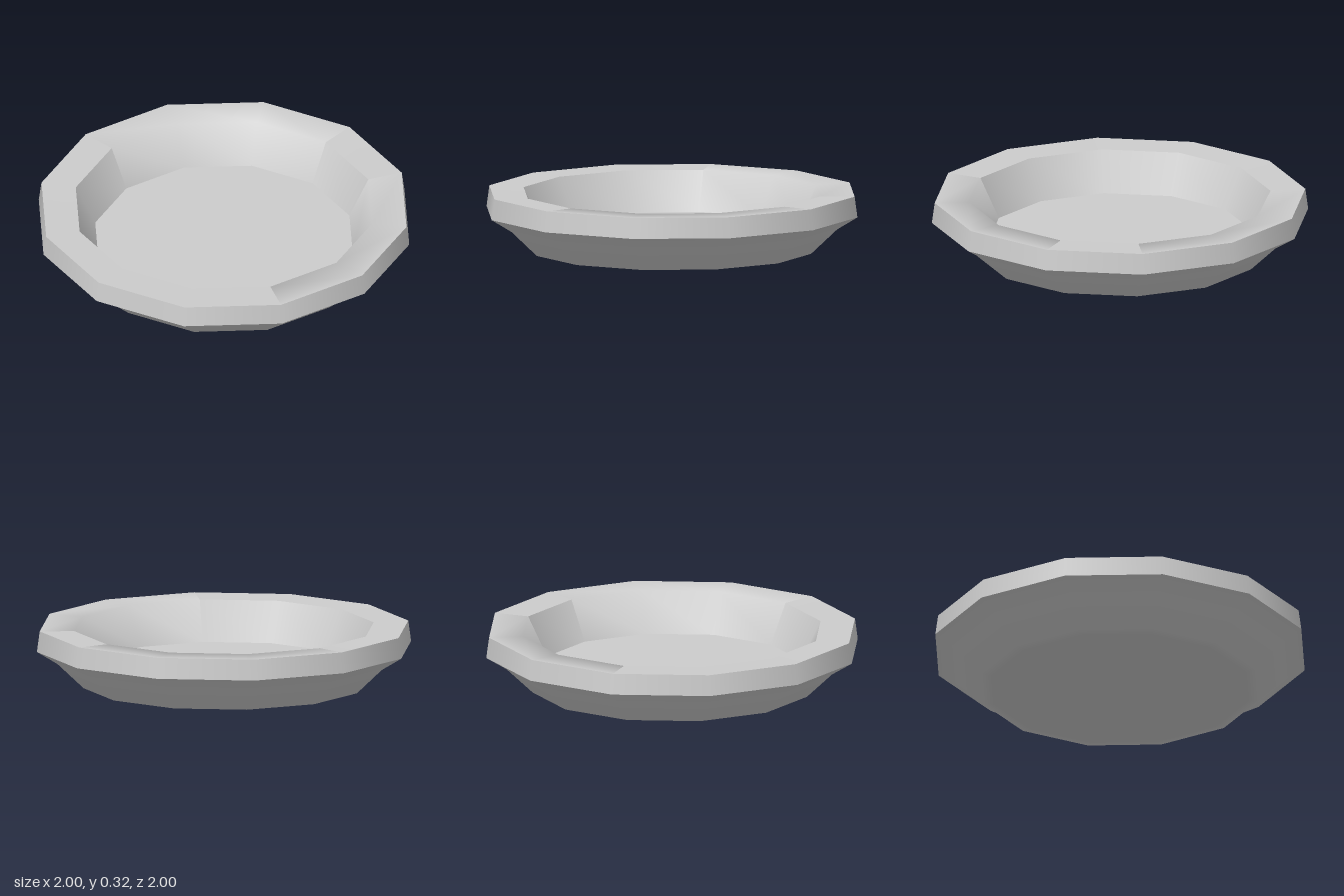
import * as THREE from 'three';

const SIDES = 12;
const STEP = (Math.PI * 2) / SIDES;

export function createModel() {
  const group = new THREE.Group();
  group.name = 'plate';
  const grey = new THREE.MeshStandardMaterial({ color: 0xcccccc });
  grey.name = 'plain grey';

  // Twelve-sided band turned from a profile of [radius, height]; smooth within a band, sharp between bands
  function band(name, profile, start = 0, count = SIDES) {
    const points = profile.map(([r, y]) => new THREE.Vector2(r, y));
    const mesh = new THREE.Mesh(
      new THREE.LatheGeometry(points, count, start * STEP, count * STEP), grey);
    mesh.name = name;
    group.add(mesh);
  }

  // Profile corners
  const rimLow = [1, 0.21];
  const rimTop = [0.985, 0.32];
  const lip = [0.8, 0.316];
  const floorEdge = [0.695, 0.107];

  // Underside: flat foot, sloping belly and flared shoulder
  band('underside', [[0, 0], [0.69, 0], [0.75, 0.008], [0.89, 0.142], rimLow]);
  band('rimSide', [rimLow, rimTop]);

  // Lip and inner wall: sharp along the front and one back facet
  for (const [start, count] of [[9, 5], [5, 1]]) {
    band('rimTop', [rimTop, lip], start, count);
    band('innerWall', [lip, floorEdge], start, count);
  }
  // Lip flowing softly into the wall elsewhere
  for (const [start, count] of [[2, 3], [6, 3]]) {
    band('softRimAndWall', [rimTop, lip, floorEdge], start, count);
  }

  band('floor', [floorEdge, [0, 0.107]]);
  return group;
}
